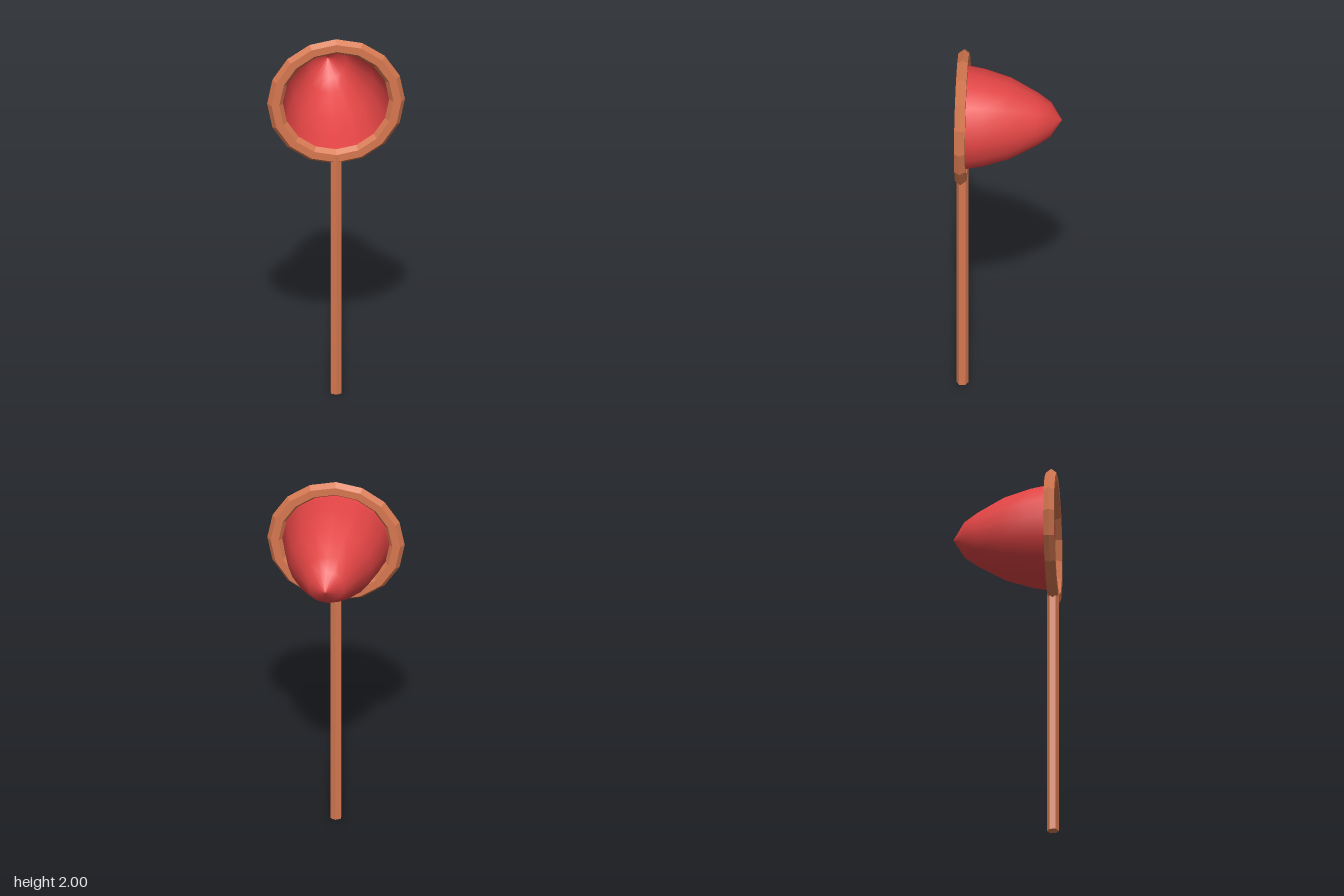
import * as THREE from 'three';

export function createModel() {
  const model = new THREE.Group();
  const wood = new THREE.MeshStandardMaterial({ color: 0xd67850, flatShading: true });
  const cloth = new THREE.MeshStandardMaterial({ color: 0xe24444, side: THREE.DoubleSide });
  const hoopY = 1.65, hoopZ = 0.238;

  const add = (name, geometry, material, y, z) => {
    const mesh = new THREE.Mesh(geometry, material);
    mesh.name = name;
    mesh.position.set(0, y, z);
    model.add(mesh);
  };

  // Hoop: six-sided section, slightly flattened front to back
  const hoop = new THREE.TorusGeometry(0.31, 0.04, 6, 16);
  hoop.scale(1, 1, 0.78);
  add('hoop', hoop, wood, hoopY, hoopZ);

  // Net bag: open at the hoop, closing to a point at the back
  const profile = [
    [0, -0.267], [0.09, -0.21], [0.137, -0.142], [0.211, -0.003],
    [0.251, 0.128], [0.266, 0.211], [0.275, 0.238],
  ].map(([r, z]) => new THREE.Vector2(r, z));
  const net = new THREE.LatheGeometry(profile, 16);
  net.rotateX(Math.PI / 2);
  add('net', net, cloth, hoopY, 0);

  // Handle: hexagonal pole with a shallow pointed foot, ending inside the hoop
  const pole = [[0, 0], [0.031, 0.012], [0.031, 1.36], [0, 1.36]]
    .map(([r, y]) => new THREE.Vector2(r, y));
  add('handle', new THREE.LatheGeometry(pole, 6), wood, 0, hoopZ);

  return model;
}
